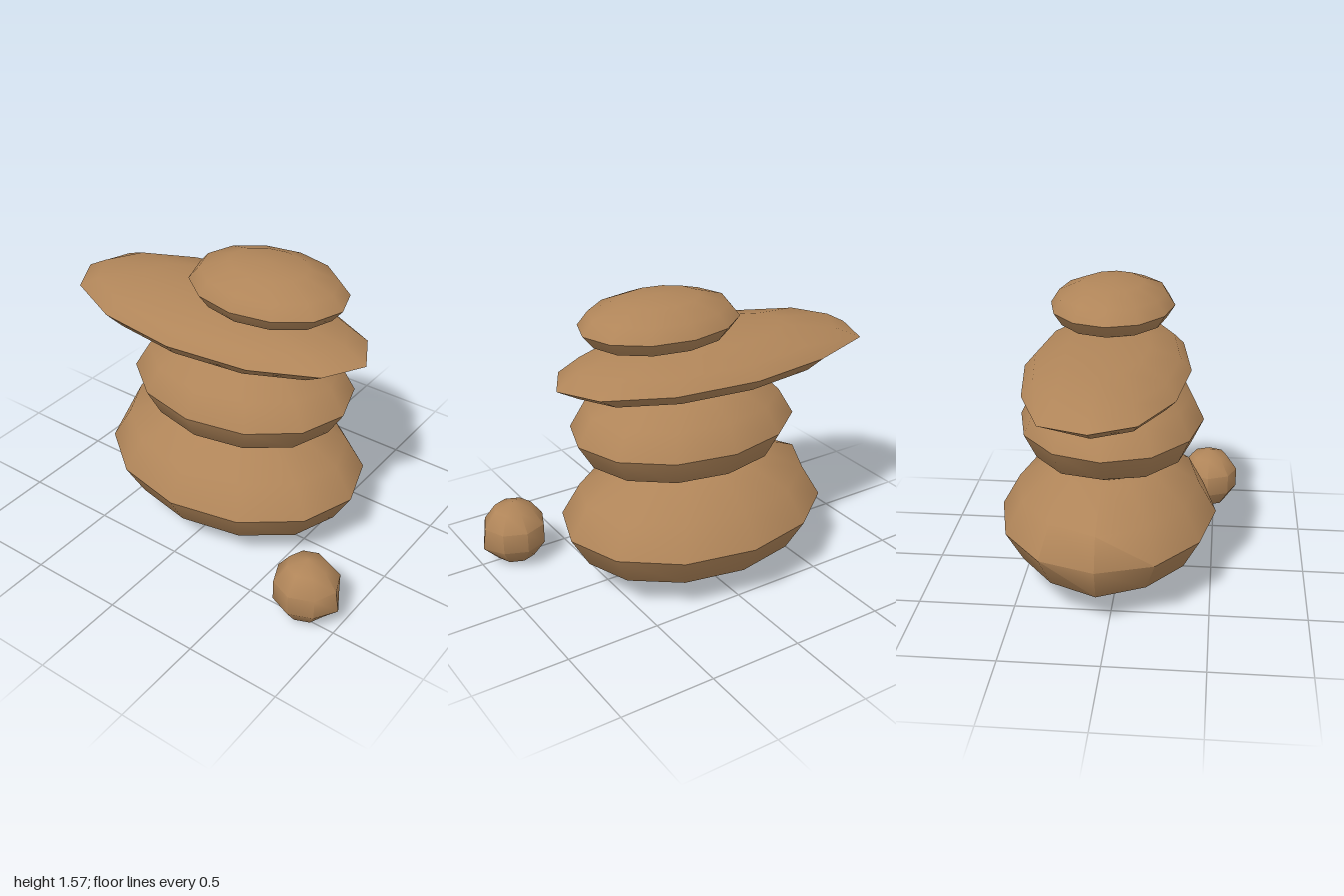
import * as THREE from 'three';
import { toCreasedNormals } from 'three/addons/utils/BufferGeometryUtils.js';

const stoneBrown = new THREE.MeshStandardMaterial({ color: 0xb08559 });
stoneBrown.name = 'stoneBrown';

// A stone is a coarse squashed sphere. Its shoulders, the rings next to the widest one,
// can be narrowed in depth and moved along x at the stone's -x end.
function makeStone(name, centre, radii, { columns = 12, rows = 6, shoulderDepth = 1, endShift = 0, corner } = {}) {
  const geometry = new THREE.SphereGeometry(1, columns, rows);
  geometry.scale(...radii);
  const p = geometry.attributes.position;
  const v = new THREE.Vector3();
  for (let i = 0; i < p.count; i++) {
    const column = (i % (columns + 1)) % columns;
    const row = Math.floor(i / (columns + 1));
    v.fromBufferAttribute(p, i);
    if (Math.abs(row - rows / 2) === 1) {
      v.z *= shoulderDepth;
      if (column === 0) v.x += endShift;
    }
    // One corner that sticks out of the regular outline
    if (corner && column === corner.column && row === corner.row) v.add(corner.push);
    p.setXYZ(i, v.x, v.y, v.z);
  }
  const mesh = new THREE.Mesh(toCreasedNormals(geometry, THREE.MathUtils.degToRad(50)), stoneBrown);
  mesh.name = name;
  mesh.position.set(...centre);
  return mesh;
}

export function createModel() {
  const model = new THREE.Group();
  model.name = 'stackedStones';
  model.add(
    makeStone('baseStone', [0, 0.35, -0.06], [0.735, 0.335, 0.577], { shoulderDepth: 0.965, endShift: -0.035 }),
    makeStone('secondStone', [0.053, 0.858, -0.047], [0.612, 0.27, 0.485], { endShift: 0.02 }),
    makeStone('flatStone', [-0.115, 1.185, -0.052], [0.885, 0.132, 0.423], {
      corner: { column: 11, row: 3, push: new THREE.Vector3(-0.035, 0, -0.025) },
    }),
    makeStone('topStone', [0.193, 1.433, -0.055], [0.428, 0.137, 0.325]),
    makeStone('pebble', [0.813, 0.183, 0.465], [0.178, 0.178, 0.175], {
      columns: 8,
      rows: 5,
      corner: { column: 4, row: 3, push: new THREE.Vector3(0.018, -0.005, 0) },
    }),
  );
  return model;
}
